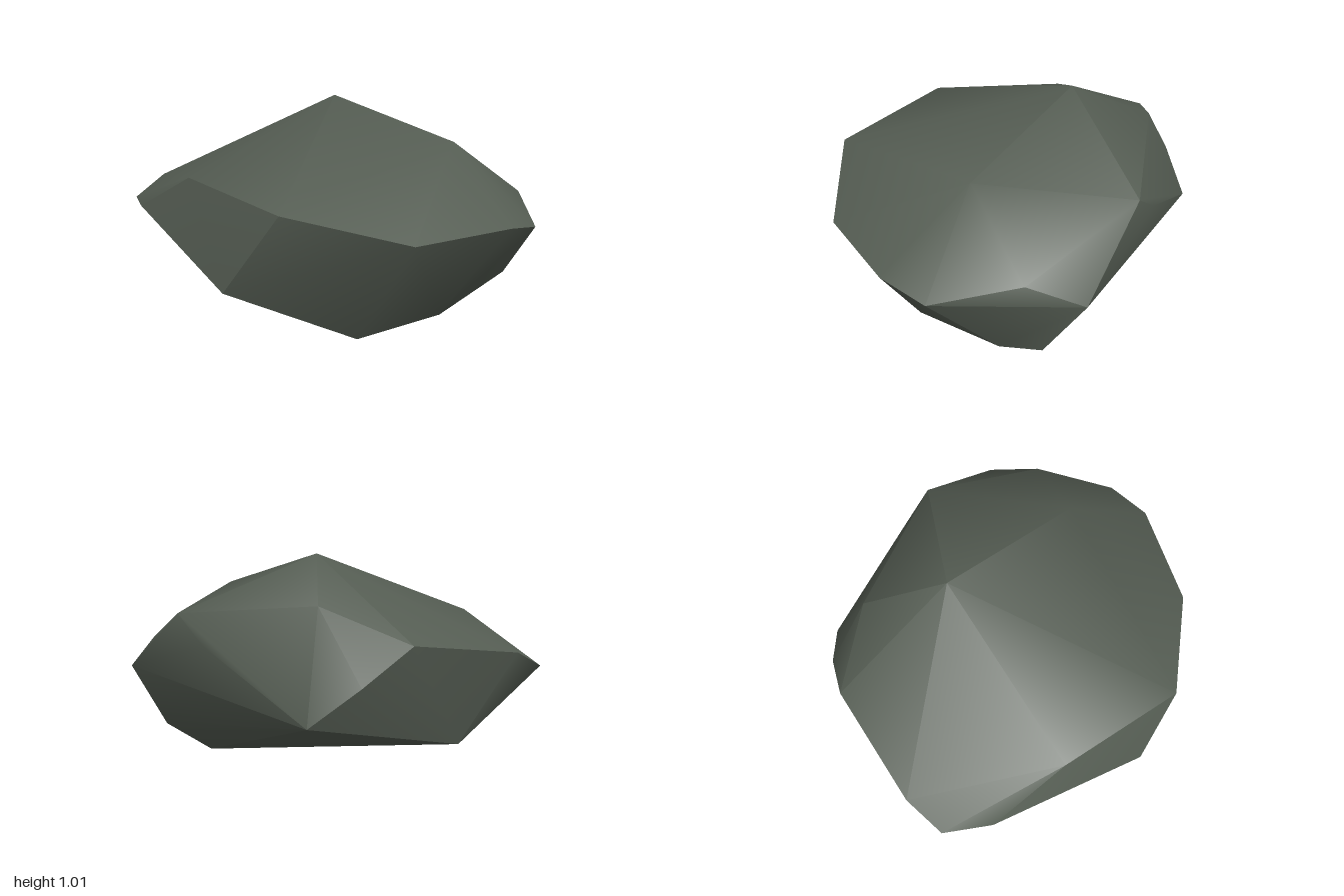
import * as THREE from 'three';
import { ConvexGeometry } from 'three/addons/geometries/ConvexGeometry.js';
import { toCreasedNormals } from 'three/addons/utils/BufferGeometryUtils.js';

// Corner points of the boulder, ring by ring
const crown = [
  [-0.05, 1.01, -0.28], [0.61, 0.84, 0.05], [0.46, 0.75, -0.65], [-0.23, 0.81, -0.64],
  [-0.63, 0.66, -0.58], [-0.52, 0.70, 0.51],
];
const girdle = [
  [0.02, 0.635, 0.85], [0.55, 0.51, 0.715], [0.91, 0.525, 0.37], [1.0, 0.485, 0.15],
  [0.90, 0.565, -0.24], [0.85, 0.46, -0.49], [0.29, 0.62, -0.71], [-0.28, 0.34, -0.85],
  [-0.47, 0.50, -0.74], [-0.94, 0.585, -0.09], [-1.0, 0.50, 0.11], [-0.87, 0.505, 0.31],
];
const base = [
  [-0.24, 0.28, 0.825], [0.26, 0, 0.49], [0.60, 0.085, 0.31], [0.85, 0.18, -0.12],
  [0.79, 0.135, -0.30], [0.52, 0.035, -0.31], [-0.72, 0.18, -0.23], [-0.62, 0.13, 0.02],
];

export function createModel() {
  const stone = new THREE.MeshStandardMaterial({ color: 0x555d53 });
  stone.name = 'mossy grey stone';

  // Wrap the corners in a hull; soft bends are smoothed, hard ridges stay sharp
  const points = [...crown, ...girdle, ...base].map((p) => new THREE.Vector3(...p));
  const geometry = toCreasedNormals(new ConvexGeometry(points), THREE.MathUtils.degToRad(42));

  const boulder = new THREE.Mesh(geometry, stone);
  boulder.name = 'boulder';

  const model = new THREE.Group();
  model.name = 'rock';
  model.add(boulder);
  return model;
}
